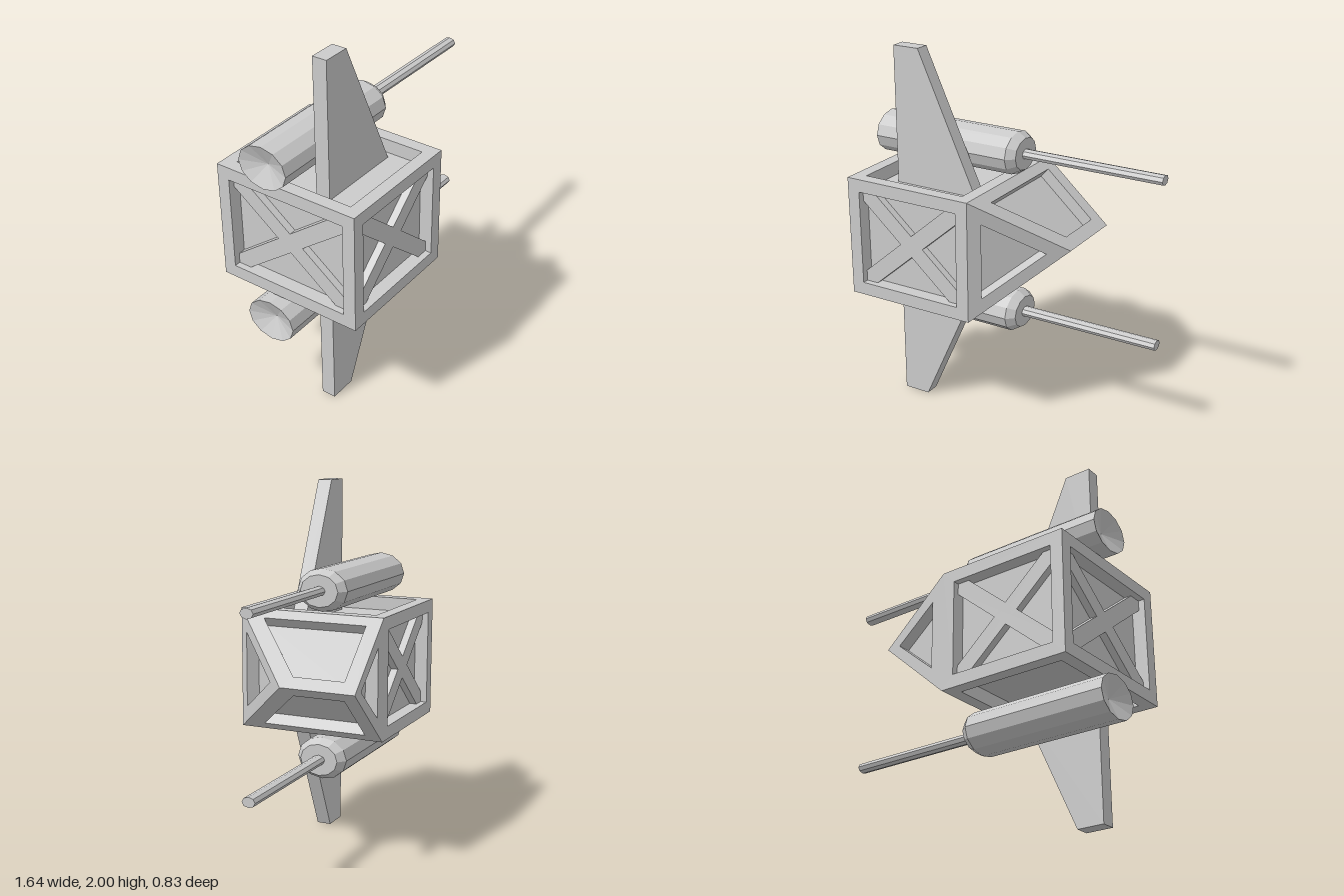
import * as THREE from 'three';

const mat = new THREE.MeshStandardMaterial({ color: 0xcccccc, flatShading: true });
const V = (p) => new THREE.Vector3(...p);
const flipY = ([x, y, z]) => [x, 2 - y, z];

// main dimensions
const X0 = -0.765, X1 = -0.025, TIP = 0.345, Y0 = 0.67, Y1 = 1.33, Z = 0.415;
const RIM = 0.07, DEPTH = 0.075;

function add(parent, name, geometry) {
  const mesh = new THREE.Mesh(geometry, mat);
  mesh.name = name;
  parent.add(mesh);
  return mesh;
}

// Flat hull face with a raised rim and a sunken panel; outer and inner are matching loops
function sunkenPanel(outer, inner, depth) {
  let o = outer.map(V), n = inner.map(V);
  const normalOf = () => o[1].clone().sub(o[0]).cross(o[2].clone().sub(o[0])).normalize();
  let normal = normalOf();
  if (normal.dot(o[0].clone().sub(new THREE.Vector3(-0.2, 1, 0))) < 0) {
    o.reverse();
    n.reverse();
    normal = normalOf();
  }
  const f = n.map((p) => p.clone().addScaledVector(normal, -depth));
  const tris = [];
  const quad = (a, b, c, d) => tris.push(a, b, c, a, c, d);
  o.forEach((_, i) => {
    const j = (i + 1) % o.length;
    quad(o[i], o[j], n[j], n[i]); // rim
    quad(n[i], n[j], f[j], f[i]); // recess wall
    if (i > 0 && j > 0) tris.push(f[0], f[i], f[j]); // floor
  });
  const g = new THREE.BufferGeometry().setFromPoints(tris);
  g.computeVertexNormals();
  return g;
}

// Rectangle loop: at(u, v) places a point on the face
function rectPanel(at, u0, u1, v0, v1) {
  const loop = (m) => [
    at(u0 + m, v0 + m), at(u1 - m, v0 + m), at(u1 - m, v1 - m), at(u0 + m, v1 - m)];
  return sunkenPanel(loop(0), loop(RIM), DEPTH);
}

// Two crossed struts filling a w by h opening, lying in the XY plane
function crossBrace(name, w, h) {
  const brace = new THREE.Group();
  brace.name = name;
  for (const s of [-1, 1]) {
    const bar = add(brace, 'strut', new THREE.BoxGeometry(Math.hypot(w, h), 0.09, 0.04));
    bar.rotation.z = s * Math.atan2(h, w);
  }
  return brace;
}

export function createModel() {
  const model = new THREE.Group();
  model.name = 'spacecraft';

  // cabin: box faces with sunken panels
  const cabin = new THREE.Group();
  cabin.name = 'cabin';
  model.add(cabin);
  add(cabin, 'frontPanel', rectPanel((x, y) => [x, y, Z], X0, X1, Y0, Y1));
  add(cabin, 'backPanel', rectPanel((x, y) => [x, y, -Z], X0, X1, Y0, Y1));
  add(cabin, 'sternPanel', rectPanel((z, y) => [X0, y, z], -Z, Z, Y0, Y1));
  add(cabin, 'topPanel', rectPanel((x, z) => [x, Y1, z], X0, X1, -Z, Z));
  add(cabin, 'bottomPanel', rectPanel((x, z) => [x, Y0, z], X0, X1, -Z, Z));

  // crossed struts in the three upright recesses
  const inset = DEPTH - 0.02, midX = (X0 + X1) / 2, openH = Y1 - Y0 - 2 * RIM;
  for (const s of [-1, 1]) {
    const brace = crossBrace(s > 0 ? 'frontBrace' : 'backBrace', X1 - X0 - 2 * RIM, openH);
    brace.position.set(midX, 1, s * (Z - inset));
    cabin.add(brace);
  }
  const stern = crossBrace('sternBrace', 2 * (Z - RIM), openH);
  stern.rotation.y = Math.PI / 2;
  stern.position.set(X0 + inset, 1, 0);
  cabin.add(stern);

  // nose wedge: two sloped panels and two triangular sides
  const nose = new THREE.Group();
  nose.name = 'nose';
  model.add(nose);
  const slope = [[X1, Y1, Z], [TIP, 1, 0], [TIP, 1, -Z], [X1, Y1, -Z]];
  const slopeIn = [[0.02, 1.29, 0.255], [0.289, 1.05, -0.05], [0.289, 1.05, -0.335], [0.02, 1.29, -0.335]];
  add(nose, 'upperNosePanel', sunkenPanel(slope, slopeIn, 0.066));
  add(nose, 'lowerNosePanel', sunkenPanel(slope.map(flipY), slopeIn.map(flipY), 0.066));
  add(nose, 'frontNosePanel', sunkenPanel(
    [[X1, Y0, Z], [TIP, 1, 0], [X1, Y1, Z]],
    [[0.024, 0.795, 0.36], [0.256, 1, 0.1], [0.024, 1.205, 0.36]], 0.07));
  add(nose, 'backNosePanel', sunkenPanel(
    [[X1, Y0, -Z], [TIP, 1, -Z], [X1, Y1, -Z]],
    [[0.045, 0.815, -Z], [0.265, 1, -Z], [0.045, 1.185, -Z]], 0.07));

  // fins and engines, mirrored above and below
  const finOutline = [[-0.62, 1.25], [-0.13, 1.25], [-0.47, 2], [-0.62, 2]];
  const engineProfile = [[0, -0.775], [1, -0.825], [1, -0.015], [0.75, 0.03], [0, 0.03]];
  for (const s of [1, -1]) {
    const side = s > 0 ? 'upper' : 'lower';
    const shape = new THREE.Shape(finOutline.map(([x, y]) => new THREE.Vector2(x, 1 + s * (y - 1))));
    const fin = add(model, side + 'Fin', new THREE.ExtrudeGeometry(shape, { depth: 0.08, bevelEnabled: false }));
    fin.position.z = 0.085;

    const engine = new THREE.Group();
    engine.name = side + 'Engine';
    engine.position.set(0, 1 + s * 0.455, -0.073);
    model.add(engine);
    // oval body with a hollow cone at the rear
    const body = new THREE.LatheGeometry(engineProfile.map((p) => new THREE.Vector2(...p)), 12);
    add(engine, 'engineBody', body.rotateZ(-Math.PI / 2).scale(1, 0.115, 0.143));
    const barrel = new THREE.CylinderGeometry(1, 1, 0.81, 8).rotateZ(-Math.PI / 2);
    add(engine, 'barrel', barrel.scale(1, 0.027, 0.036)).position.x = 0.415;
  }
  return model;
}
